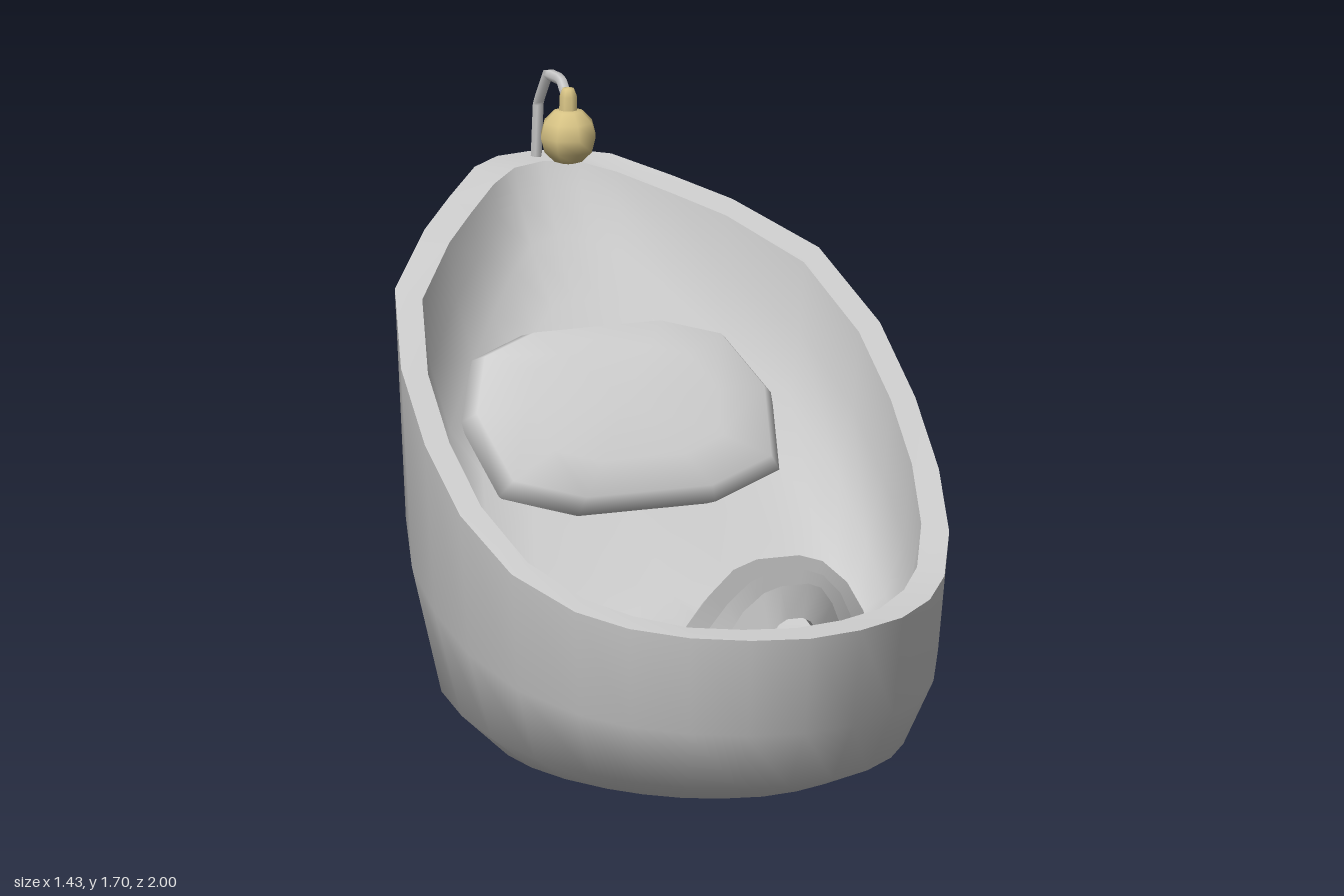
import * as THREE from 'three';
import { mergeVertices, toCreasedNormals } from 'three/addons/utils/BufferGeometryUtils.js';

const V = (x, y, z) => new THREE.Vector3(x, y, z);
const shellGrey = new THREE.MeshStandardMaterial({ color: 0xcccccc });
const toyGold = new THREE.MeshStandardMaterial({ color: 0xd6c284 });
shellGrey.name = 'shellGrey';
toyGold.name = 'toyGold';

// Skin a list of equal-length closed rings
function loft(rings, crease) {
  const n = rings[0].length, index = [];
  for (let i = 0; i < rings.length - 1; i++) {
    for (let j = 0; j < n; j++) {
      const k = (j + 1) % n;
      const a = i * n + j, b = a + n, c = (i + 1) * n + k, d = i * n + k;
      index.push(a, b, c, a, c, d);
    }
  }
  let g = new THREE.BufferGeometry().setFromPoints(rings.flat());
  g.setIndex(index);
  g = mergeVertices(g, 1e-5);
  if (crease) return toCreasedNormals(g, crease);
  g.computeVertexNormals();
  return g;
}

function add(parent, name, geometry, material) {
  const m = new THREE.Mesh(geometry, material);
  m.name = name;
  parent.add(m);
  return m;
}

// Plan outline of the tub, half from front to back, then mirrored
const half = [[0, 1], [0.16, 0.97], [0.31, 0.9], [0.44, 0.78], [0.54, 0.64], [0.64, 0.43], [0.70, 0.21],
  [0.717, 0], [0.70, -0.21], [0.62, -0.45], [0.45, -0.65], [0.325, -0.78], [0.2, -0.905], [0.105, -0.975], [0, -1]];
const outline = [...half, ...half.slice(1, -1).reverse().map(([x, z]) => [-x, z])];

// Height of the rim, sampled from back to front
const rimSamples = [1.435, 1.395, 1.32, 1.205, 1.065, 0.91, 0.765, 0.65, 0.58, 0.545, 0.53];
function rimHeight(z) {
  const t = THREE.MathUtils.clamp((z + 1) * 5, 0, 9.999), i = Math.floor(t);
  const bulge = z < -0.8 ? 0.06 * (t - i) * (1 - t + i) : 0;
  return THREE.MathUtils.lerp(rimSamples[i], rimSamples[i + 1], t - i) + bulge;
}
// Reclining back running into a gently rising foot end
function floorHeight(z) {
  const d = z - 0.12;
  return 0.28 + 0.5 * (Math.sqrt(d * d + 0.02) - d) + 0.25 * Math.max(0, z - 0.2);
}

function addTub(group) {
  const tub = new THREE.Group();
  tub.name = 'tub';
  group.add(tub);
  const outer = [[1, 1], [0.96, 0.485], [0.85, 0.16], [0.66, 0.025], [0.33, 0.004], [0, 0]]
    .map(([s, f]) => outline.map(([x, z]) => V(x * s, rimHeight(z) * f, z * s)));
  const inner = [[0, 1], [0.25, 1], [0.5, 1], [0.68, 0.97], [0.8, 0.82], [0.87, 0.45], [0.9, 0]]
    .map(([s, w]) => outline.map(([x, z]) =>
      V(x * s, THREE.MathUtils.lerp(rimHeight(z * 0.9), floorHeight(z * s), w), z * s)));
  add(tub, 'outerShell', loft(outer), shellGrey);
  add(tub, 'rim', loft([inner[inner.length - 1], outer[0]]), shellGrey);
  add(tub, 'innerShell', loft(inner), shellGrey);
}

// Flat cushion leaning at 45 degrees on the back
function addPillow(group) {
  const right = [[0.2, -0.29], [0.41, -0.21], [0.457, 0.03], [0.375, 0.22], [0.2, 0.285]];
  const edge = [...right, ...right.map(([x, v]) => [-x, v]).reverse()];
  const rings = [[0, 0.085], [0.6, 0.075], [0.92, 0.05], [1, 0], [0.9, -0.06], [0, -0.085]]
    .map(([s, h]) => edge.map(([x, v]) => V(x * s, h, -v * s)));
  const pillow = add(group, 'pillow', loft(rings), shellGrey);
  pillow.position.set(0, 0.835, -0.368);
  pillow.rotation.x = Math.PI / 4;
}

// Three stepped arches at the foot end, their legs sweeping back along the tub wall
function addArches(group) {
  const side = [[1, 0], [0.92, 0.25], [0.84, 0.45], [0.65, 0.73], [0.42, 0.93], [0.2, 1]];
  const path = [...side.map(([x, y]) => [-x, y]), ...[...side].reverse()];
  const base = 0.38;
  [[0.89, 0.2, 0.655], [0.83, 0.255, 0.68], [0.77, 0.31, 0.705]].forEach(([z, w, peak], i) => {
    const at = (p, s, h, zz, inset) => {
      const x = p[0] * w * s;
      return V(x, base + p[1] * (peak - base) * h, Math.min(zz, 0.935 - 0.74 * Math.abs(x) - inset));
    };
    const rings = path.map(p => [
      at(p, 1, 1, z, 0), at(p, 0.97, 0.85, z - 0.062, 0.03),
      at(p, 0.6, 0.66, z - 0.062, 0.03), at(p, 0.55, 0.66, z, 0)]);
    add(group, 'footArch' + (i + 1), loft(rings, 0.8), shellGrey);
  });
}

// Bent rod holding a hanging ball over the head end
function addMobile(group) {
  const mobile = new THREE.Group();
  mobile.name = 'mobile';
  group.add(mobile);
  const bends = [V(0, 1.38, -0.958), V(0, 1.585, -0.938), V(0, 1.68, -0.87), V(0, 1.685, -0.775), V(0, 1.64, -0.728)];
  const path = new THREE.CurvePath();
  for (let i = 0; i < bends.length - 1; i++) path.add(new THREE.LineCurve3(bends[i], bends[i + 1]));
  add(mobile, 'rod', new THREE.TubeGeometry(path, 24, 0.016, 6), shellGrey);
  const ball = add(mobile, 'ball', new THREE.SphereGeometry(0.08, 8, 6), toyGold);
  ball.position.set(0, 1.54, -0.725);
  const neck = [[0.027, 0], [0.025, 0.05], [0.016, 0.072], [0, 0.075]].map(([r, y]) => new THREE.Vector2(r, y));
  const cap = add(mobile, 'ballNeck', new THREE.LatheGeometry(neck, 8), toyGold);
  cap.position.set(0, 1.6, -0.725);
}

export function createModel() {
  const group = new THREE.Group();
  group.name = 'cradle';
  addTub(group);
  addPillow(group);
  addArches(group);
  addMobile(group);
  return group;
}
